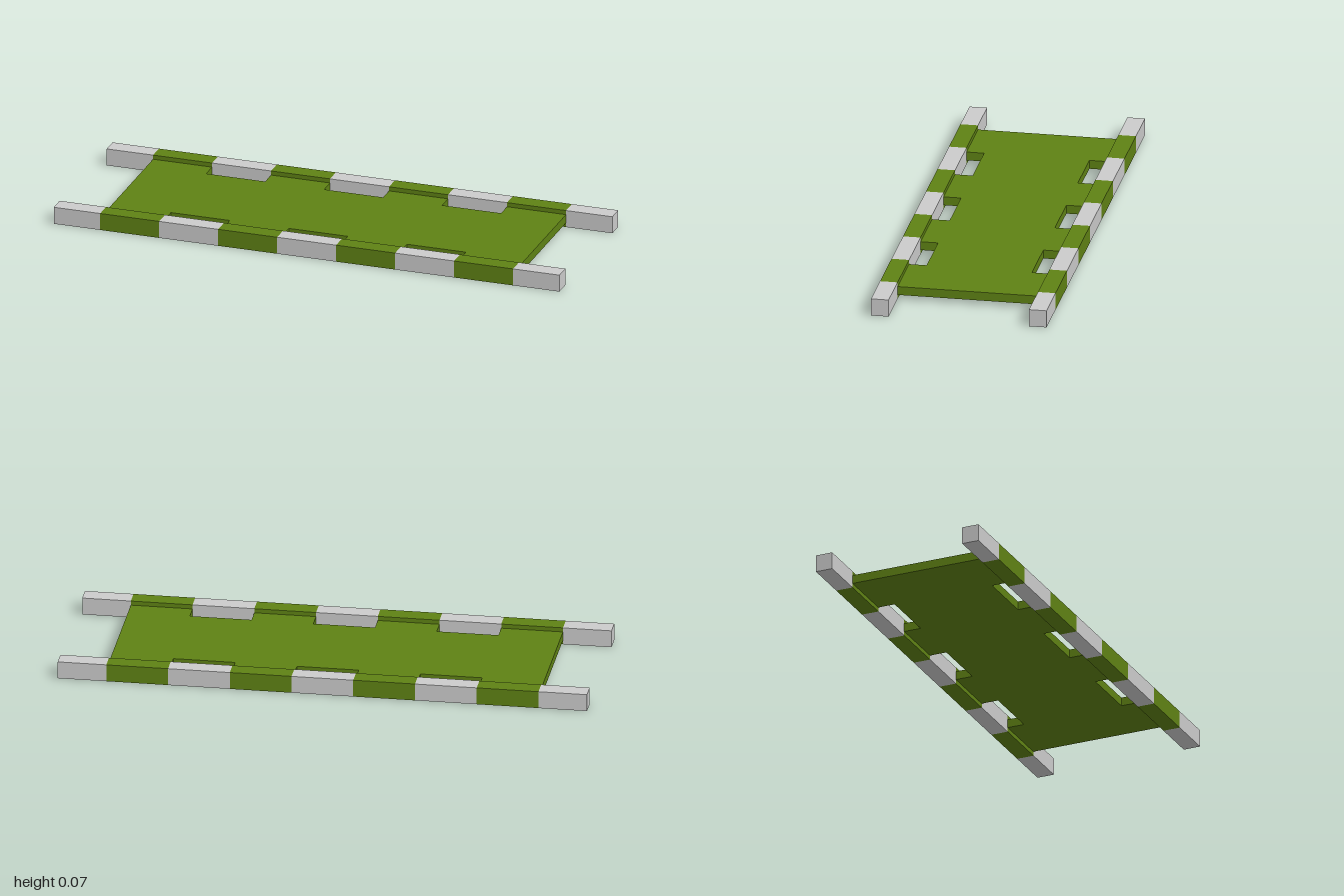
import * as THREE from 'three';

const POLE = 0.0667;           // square pole thickness
const POLE_Z = 0.3;            // pole centre line
const INNER_Z = POLE_Z - POLE / 2;
const NOTCH_Z = 0.2;           // depth the notches reach
const BAND = 0.2333;           // width of each loop and each gap
const EDGES = [-3.5, -2.5, -1.5, -0.5, 0.5, 1.5, 2.5, 3.5].map((n) => n * BAND);

const grey = new THREE.MeshStandardMaterial({ color: 0xcccccc });
const green = new THREE.MeshStandardMaterial({ color: 0x5f8214 });

// Canvas sheet with notches between the loops on both long sides
function createCanvas() {
  const side = EDGES.flatMap((x, i) =>
    i % 2 === 0 ? [[x, NOTCH_Z], [x, INNER_Z]] : [[x, INNER_Z], [x, NOTCH_Z]]);
  const outline = [
    ...side.map(([x, z]) => new THREE.Vector2(x, -z)),
    ...side.reverse().map(([x, z]) => new THREE.Vector2(x, z)),
  ];
  const geometry = new THREE.ExtrudeGeometry(new THREE.Shape(outline), {
    depth: 0.0333, bevelEnabled: false,
  });
  geometry.rotateX(Math.PI / 2).translate(0, 0.05, 0);
  const canvas = new THREE.Mesh(geometry, green);
  canvas.name = 'canvas';
  return canvas;
}

// Carrying pole: bare wood alternating with flush canvas loops
function createPole(name, z) {
  const pole = new THREE.Group();
  pole.name = name;
  const stops = [-1, ...EDGES, 1];
  for (let i = 0; i < stops.length - 1; i++) {
    const length = stops[i + 1] - stops[i];
    const isLoop = i % 2 === 1;
    const part = new THREE.Mesh(new THREE.BoxGeometry(length, POLE, POLE), isLoop ? green : grey);
    part.name = isLoop ? 'canvasLoop' : i === 0 || i === stops.length - 2 ? 'handle' : 'barePole';
    part.position.set(stops[i] + length / 2, POLE / 2, z);
    pole.add(part);
  }
  return pole;
}

export function createModel() {
  const model = new THREE.Group();
  model.name = 'stretcher';
  model.add(createCanvas(), createPole('frontPole', POLE_Z), createPole('backPole', -POLE_Z));
  return model;
}
